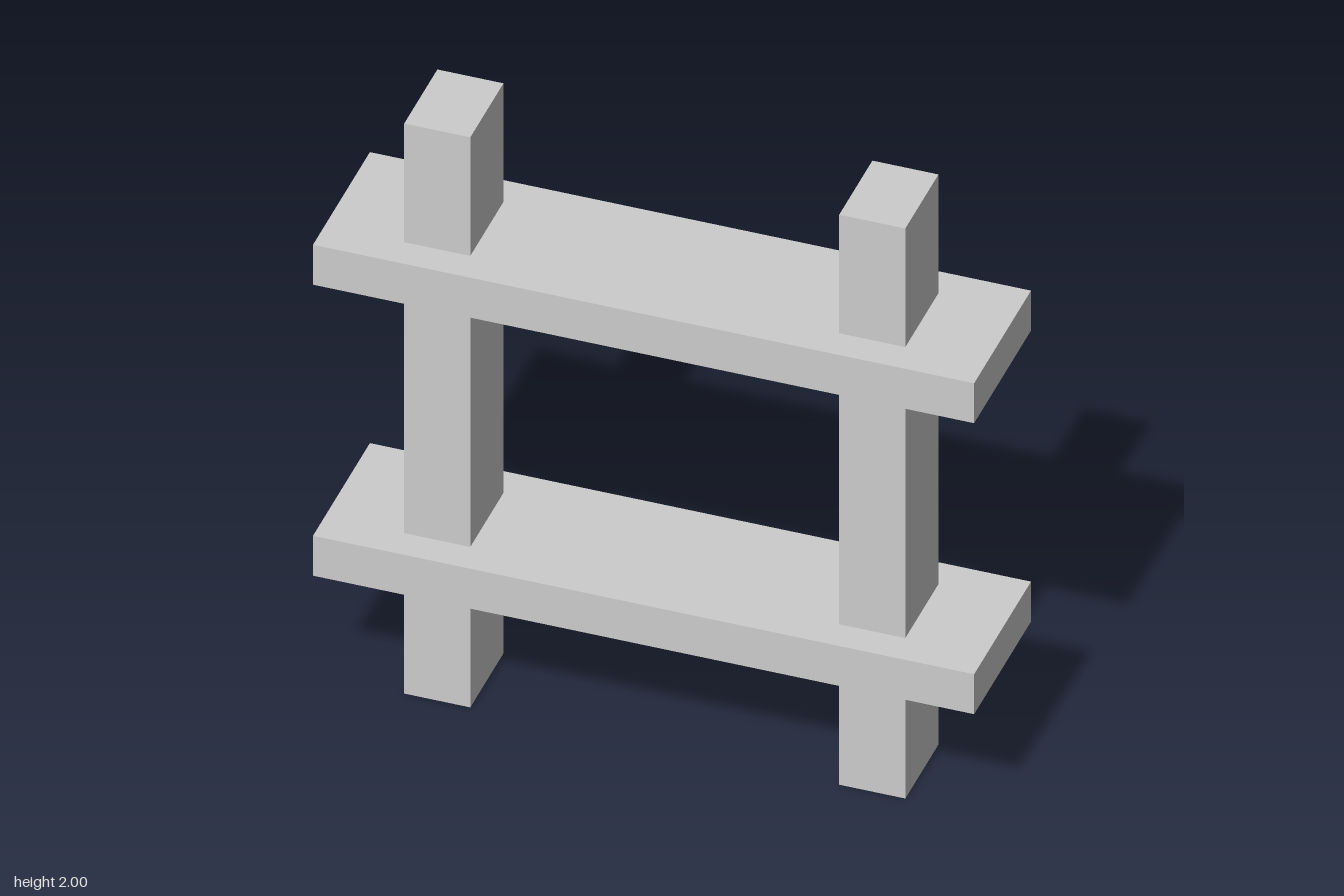
import * as THREE from 'three';

export function createModel() {
  const model = new THREE.Group();
  const material = new THREE.MeshStandardMaterial({ color: 0xcccccc, flatShading: true });

  function addBox(name, width, height, depth, x, y) {
    const mesh = new THREE.Mesh(new THREE.BoxGeometry(width, height, depth), material);
    mesh.name = name;
    mesh.position.set(x, y, 0);
    model.add(mesh);
  }

  // Full-height uprights
  addBox('rightPost', 0.2, 2, 0.28, -0.66, 1);
  addBox('leftPost', 0.2, 2, 0.28, 0.656, 1);

  // Horizontal boards that the posts pass through
  addBox('lowerShelf', 2, 0.14, 0.48, 0, 0.493);
  addBox('upperShelf', 2, 0.14, 0.48, 0, 1.514);

  return model;
}
